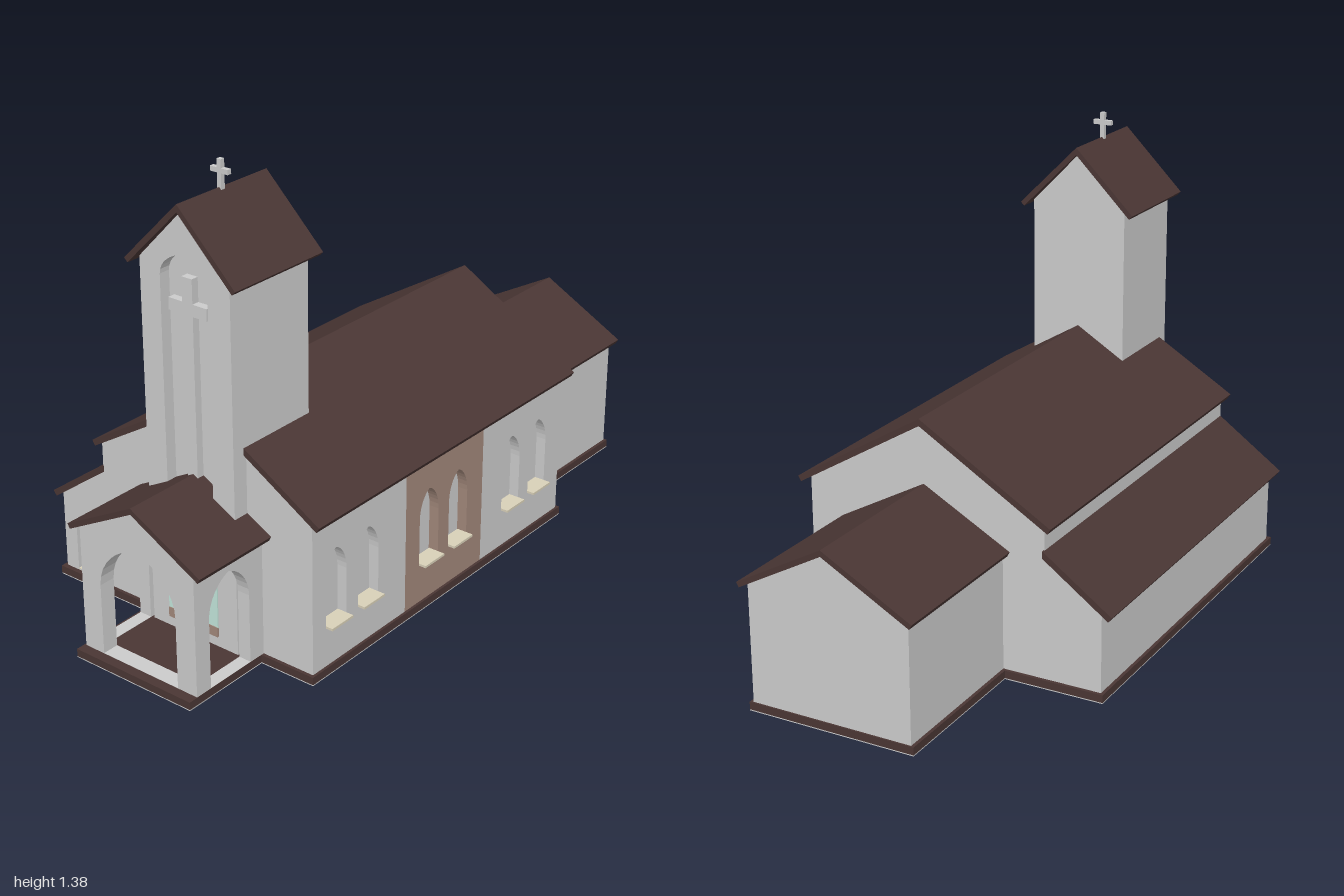
import * as THREE from 'three';

const CX = 0.09; // centre line of nave, tower and porch
const mat = (color) => new THREE.MeshStandardMaterial({ color, flatShading: true });

export function createModel() {
  const model = new THREE.Group();
  const wall = mat(0xcccccc), roofMat = mat(0x4a3634), brick = mat(0xa1877a);
  const glass = mat(0xc2e5da), stone = mat(0xd8d0b8);

  const add = (name, geometry, material) => {
    const mesh = new THREE.Mesh(geometry, material);
    mesh.name = name;
    model.add(mesh);
    return mesh;
  };

  // Box given by its limits on each axis
  const box = (name, x0, x1, y0, y1, z0, z1, material) => {
    const m = add(name, new THREE.BoxGeometry(x1 - x0, y1 - y0, z1 - z0), material);
    m.position.set((x0 + x1) / 2, (y0 + y1) / 2, (z0 + z1) / 2);
    return m;
  };

  const polygon = (pts) => new THREE.Shape(pts.map(([x, y]) => new THREE.Vector2(x, y)));

  // Pointed arch opening: centre, half width, bottom, spring line, apex
  const arch = (c, w, y0, spring, apex) => {
    const h = apex - spring, p = new THREE.Path();
    p.moveTo(c - w, y0);
    p.lineTo(c + w, y0);
    p.lineTo(c + w, spring);
    p.bezierCurveTo(c + w, spring + h * 0.5, c + w * 0.5, apex - h * 0.1, c, apex);
    p.bezierCurveTo(c - w * 0.5, apex - h * 0.1, c - w, spring + h * 0.5, c - w, spring);
    p.closePath();
    return p;
  };

  const extrude = (pts, depth, holes) => {
    const shape = polygon(pts);
    shape.holes.push(...holes);
    return new THREE.ExtrudeGeometry(shape, { depth, bevelEnabled: false, curveSegments: 8 });
  };

  // Profile in x-y, running from z0 to z1
  const prism = (name, pts, z0, z1, material, holes = []) => {
    const m = add(name, extrude(pts, z1 - z0, holes), material);
    m.position.z = z0;
    return m;
  };

  // Side wall drawn in z-y, with its outer face at x
  const sideWall = (name, z0, z1, y0, y1, x, depth, material, holes) => {
    const m = add(name, extrude([[z0, y0], [z1, y0], [z1, y1], [z0, y1]], depth, holes), material);
    m.rotation.y = -Math.PI / 2;
    m.position.x = x;
    return m;
  };

  // Gable roof of even thickness
  const gableRoof = (name, half, tipY, ridgeY, t, z0, z1) => {
    const h = ridgeY - tipY, len = Math.hypot(half, h);
    const ix = half - (t * h) / len, iy = tipY - (t * half) / len;
    prism(name, [
      [CX, ridgeY], [CX - half, tipY], [CX - ix, iy],
      [CX, ridgeY - (t * len) / half], [CX + ix, iy], [CX + half, tipY],
    ], z0, z1, roofMat);
  };

  const house = (half, eave, ridge, y0 = 0.02) => [
    [CX - half, y0], [CX + half, y0], [CX + half, eave], [CX, ridge], [CX - half, eave],
  ];

  // Plinths with a grey underside
  [
    ['navePlinth', -0.475, 0.475, -0.5, 0.71],
    ['porchPlinth', -0.12, 0.295, 0.71, 1],
    ['backRoomPlinth', -0.17, 0.35, -0.985, -0.5],
  ].forEach(([name, x0, x1, z0, z1]) => {
    box(name, x0, x1, 0.003, 0.026, z0, z1, roofMat);
    box(name + 'Underside', x0, x1, 0, 0.003, z0, z1, wall);
  });

  // Nave
  prism('naveBody', [
    [-0.29, 0.02], [0.435, 0.02], [0.435, 0.484], [0.467, 0.484], [CX, 0.708], [-0.29, 0.484],
  ], -0.49, 0.7, wall);
  gableRoof('naveRoof', 0.408, 0.488, 0.733, 0.018, -0.51, 0.71);

  // Three window bays on the nave's long wall, the middle one in brick
  [[0.29, 0.7, 0.6, 0.46, wall], [-0.08, 0.29, 0.18, 0.04, brick], [-0.49, -0.08, -0.23, -0.37, wall]]
    .forEach(([z0, z1, a, b, material]) => {
      const holes = [a, b].map((c) => arch(c, 0.045, 0.15, 0.29, 0.375));
      sideWall('windowBay', z0, z1, 0.02, 0.484, 0.467, 0.032, material, holes);
      [a, b].forEach((c) => box('windowSill', 0.436, 0.49, 0.145, 0.152, c - 0.045, c + 0.045, stone));
    });

  // Side aisle with a recessed doorway in its front
  const aisle = [[-0.465, 0.02], [-0.289, 0.02], [-0.289, 0.398], [-0.465, 0.272]];
  prism('aisleBody', aisle, -0.49, 0.6, wall);
  const doorway = polygon([[-0.418, 0.03], [-0.342, 0.03], [-0.342, 0.196], [-0.418, 0.196]]);
  prism('aisleFront', aisle, 0.6, 0.695, wall, [doorway]);
  box('aisleDoorstep', -0.418, -0.342, 0.027, 0.032, 0.6, 0.695, stone);
  prism('aisleRoof', [[-0.5, 0.264], [-0.489, 0.249], [-0.288, 0.393], [-0.288, 0.415]], -0.5, 0.7, roofMat);

  // Back room
  prism('backRoom', house(0.25, 0.38, 0.512), -0.98, -0.48, wall);
  gableRoof('backRoomRoof', 0.272, 0.386, 0.535, 0.016, -1, -0.489);

  // Tower with a tall arched niche and a cross in it
  const towerWall = house(0.155, 1.118, 1.278);
  prism('towerBody', towerWall, 0.44, 0.715, wall);
  prism('towerFront', towerWall, 0.715, 0.75, wall, [arch(0.0875, 0.082, 0.06, 1.085, 1.156)]);
  gableRoof('towerRoof', 0.191, 1.11, 1.3, 0.016, 0.42, 0.77);
  const cross = (name, c, halfV, y0, y1, halfH, h0, h1, z0, z1) => {
    box(name + 'Post', c - halfV, c + halfV, y0, y1, z0, z1, wall);
    box(name + 'Arm', c - halfH, c + halfH, h0, h1, z0, z1, wall);
  };
  cross('nicheCross', 0.0875, 0.018, 0.36, 1.09, 0.066, 0.985, 1.02, 0.714, 0.738);
  cross('roofCross', CX, 0.007, 1.28, 1.376, 0.03, 1.338, 1.352, 0.593, 0.607);

  // Glazed entrance door
  box('doorGlass', -0.002, 0.177, 0.085, 0.345, 0.716, 0.754, glass);
  box('doorKickPlate', -0.002, 0.177, 0.058, 0.088, 0.716, 0.756, brick);
  cross('doorCross', 0.0875, 0.022, 0.14, 0.343, 0.081, 0.27, 0.305, 0.75, 0.759);

  // Open porch with an arch on each side
  prism('porchFront', house(0.204, 0.4, 0.503), 0.92, 0.97, wall, [arch(CX, 0.136, 0.027, 0.24, 0.39)]);
  [0.294, -0.074].forEach((x) => {
    sideWall('porchSide', 0.7, 0.968, 0.02, 0.4, x, 0.04, wall, [arch(0.835, 0.08, 0.027, 0.235, 0.346)]);
  });
  gableRoof('porchRoof', 0.237, 0.4, 0.525, 0.016, 0.7, 0.982);

  return model;
}
